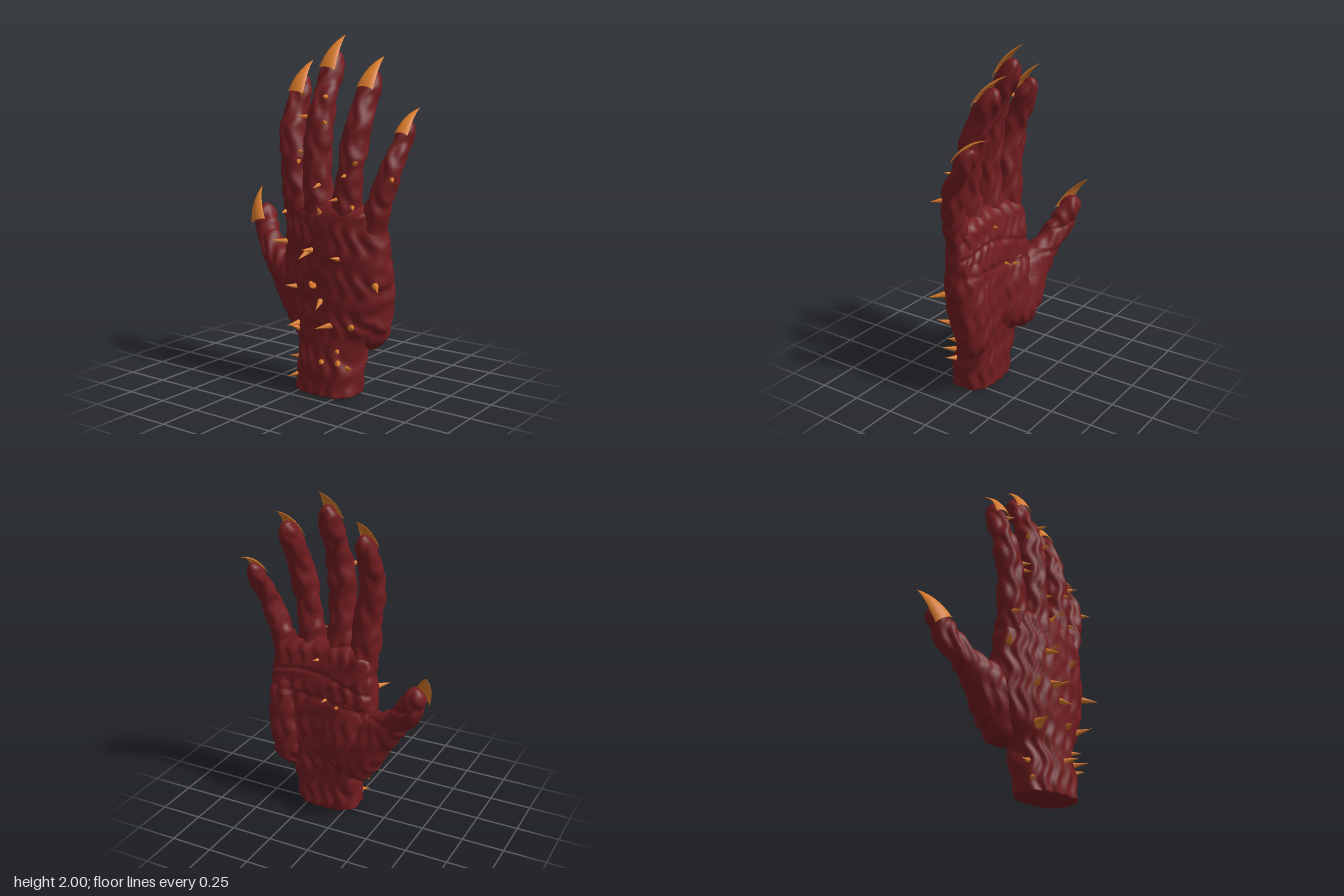
import * as THREE from 'three';

const V = (x, y, z) => new THREE.Vector3(x, y, z);

// Wavy bark-like ridges over all skin, plus creases on the palm side
function ripple(p, n) {
  let d = 0.007 * Math.sin(80 * p.x + 9 * p.y + 32 * p.z + 1.8 * Math.sin(27 * p.y + 4 * p.x));
  d += 0.002 * Math.sin(48 * p.y + 14 * p.x + 25 * p.z);
  if (n.z < -0.3) {
    const crease = (v) => 0.01 * Math.exp(-((v / 0.012) ** 2));
    d -= crease(p.y - 0.86 - 0.05 * Math.sin(6 * p.x)) + crease(p.y - 0.73 - 0.12 * p.x);
  }
  return d;
}

// Loft of superellipse rings; nodes are [x, y, z, halfWidth, halfDepth]
function loft(nodes, { rings = 70, segs = 48, start = 0, end = 0.1, power = 1, arch = 0, ref = V(1, 0, 0) } = {}) {
  const path = new THREE.CatmullRomCurve3(nodes.map((n) => V(n[0], n[1], n[2])), false, 'catmullrom', 0.5);
  const radii = new THREE.CatmullRomCurve3(nodes.map((n) => V(n[3], n[4], 0)), false, 'catmullrom', 0.5);
  const pos = [], idx = [];
  const round = (v) => Math.sign(v) * Math.abs(v) ** power;
  const steps = [];
  if (!start) steps.push([0, 0], [0, 0.5], [0, 0.95]);
  for (let i = 0; i <= rings; i++) {
    const u = i / rings;
    const t = start ? (1 - Math.cos(u * Math.PI)) / 2 : Math.sin(u * Math.PI / 2);
    let k = 1;
    if (t < start) k = Math.sqrt(Math.max(0, 1 - (1 - t / start) ** 2));
    if (t > 1 - end) k = Math.sqrt(Math.max(0, 1 - ((t - 1 + end) / end) ** 2));
    steps.push([!start && i === 0 ? 0.008 : t, k]);
  }
  steps.forEach(([t, k], i) => {
    const c = path.getPoint(t), r = radii.getPoint(t);
    const T = arch ? V(0, 1, 0) : path.getTangent(t);
    const side = ref.clone().addScaledVector(T, -ref.dot(T)).normalize();
    const up = side.clone().cross(T);
    for (let j = 0; j < segs; j++) {
      const a = (j / segs) * Math.PI * 2, cx = round(Math.cos(a)), cz = round(Math.sin(a));
      const n = side.clone().multiplyScalar(cx).addScaledVector(up, cz).normalize();
      const p = c.clone().addScaledVector(side, cx * r.x * k).addScaledVector(up, cz * r.y * k);
      p.z -= arch * cx * cx * k * Math.min(1, t * 4);
      p.addScaledVector(n, ripple(p, n) * k);
      if (p.y < 0) p.y = 0;
      pos.push(p.x, p.y, p.z);
      if (i < steps.length - 1) {
        const q = i * segs, b = q + segs, m = (j + 1) % segs;
        idx.push(q + j, b + j, q + m, b + j, b + m, q + m);
      }
    }
  });
  const g = new THREE.BufferGeometry();
  g.setAttribute('position', new THREE.Float32BufferAttribute(pos, 3));
  g.setIndex(idx);
  g.computeVertexNormals();
  return g;
}

// Curved claw plate arching over the back of a fingertip to a point
function claw(base, tip, width, ref) {
  const along = tip.clone().sub(base).normalize();
  const side = ref.clone().addScaledVector(along, -ref.dot(along)).normalize();
  const up = side.clone().cross(along);
  const root = base.clone().addScaledVector(up, 0.02);
  const mid = root.clone().lerp(tip, 0.5).addScaledVector(up, 0.05);
  const curve = new THREE.QuadraticBezierCurve3(root, mid, tip);
  const g = new THREE.PlaneGeometry(1, 1, 12, 16);
  const P = g.attributes.position;
  for (let i = 0; i < P.count; i++) {
    const v = P.getY(i) + 0.5, a = P.getX(i) * 2.5;
    const w = (width / 2) * (1 - v) * (1 + 0.5 * v) + 0.001;
    const p = curve.getPoint(v).addScaledVector(side, Math.sin(a) * w).addScaledVector(up, (Math.cos(a) - 1) * w * 0.6);
    P.setXYZ(i, p.x, p.y, p.z);
  }
  g.computeVertexNormals();
  return g;
}

export function createModel() {
  const skin = new THREE.MeshStandardMaterial({ color: 0x721d20 });
  skin.name = 'dark red skin';
  const horn = new THREE.MeshStandardMaterial({ color: 0xd97b2c, side: THREE.DoubleSide });
  horn.name = 'orange horn';
  const hand = new THREE.Group();
  hand.name = 'clawedHand';
  const flesh = [];
  const add = (name, geo, mat) => {
    const m = new THREE.Mesh(geo, mat);
    m.name = name;
    hand.add(m);
    if (mat === skin) flesh.push(m);
  };

  // Wrist and palm
  add('palm', loft([
    [0.138, 0, 0.06, 0.192, 0.127], [0.138, 0.12, 0.06, 0.195, 0.127], [0.138, 0.27, 0.05, 0.205, 0.122],
    [0.13, 0.38, 0.04, 0.27, 0.125], [0.135, 0.52, 0.035, 0.32, 0.13], [0.145, 0.7, 0.035, 0.335, 0.127],
    [0.145, 0.86, 0.038, 0.328, 0.118], [0.14, 0.98, 0.043, 0.305, 0.102], [0.14, 1.09, 0.045, 0.285, 0.085],
  ], { rings: 130, segs: 128, power: 0.7, arch: 0.05, end: 0.1 }), skin);
  add('heelOfPalm', loft([
    [0.35, 0.25, -0.04, 0.07, 0.07], [0.365, 0.4, -0.045, 0.1, 0.09], [0.38, 0.6, -0.045, 0.105, 0.09],
    [0.38, 0.78, -0.03, 0.1, 0.08], [0.36, 0.92, 0, 0.08, 0.06],
  ], { start: 0.2, end: 0.25 }), skin);
  add('thumbMound', loft([
    [0.04, 0.28, -0.03, 0.08, 0.06], [0, 0.42, -0.05, 0.14, 0.09], [-0.02, 0.56, -0.05, 0.15, 0.09],
    [-0.04, 0.7, -0.04, 0.13, 0.075], [-0.06, 0.82, -0.01, 0.08, 0.05],
  ], { start: 0.2, end: 0.25 }), skin);

  // Fingers and thumb, each with its claw
  const X = V(1, 0, 0), thumbSide = V(0.92, 0, 0.38);
  const digits = {
    indexFinger: { nodes: [
      [-0.07, 0.8, 0.02, 0.06, 0.06], [-0.095, 0.98, 0.025, 0.082, 0.075], [-0.108, 1.12, 0.03, 0.084, 0.076],
      [-0.12, 1.28, 0.03, 0.08, 0.074], [-0.15, 1.45, 0.02, 0.07, 0.07], [-0.15, 1.6, -0.03, 0.064, 0.062],
      [-0.145, 1.77, -0.11, 0.055, 0.054],
    ], base: V(-0.145, 1.675, 0), tip: V(-0.138, 1.86, -0.165), width: 0.115 },
    middleFinger: { nodes: [
      [0.06, 0.9, 0.05, 0.085, 0.085], [0.06, 1.08, 0.055, 0.084, 0.08], [0.055, 1.28, 0.06, 0.077, 0.073],
      [0.055, 1.45, 0.045, 0.08, 0.073], [0.06, 1.6, 0.015, 0.07, 0.067], [0.06, 1.75, -0.05, 0.063, 0.06],
      [0.06, 1.91, -0.13, 0.056, 0.054],
    ], base: V(0.06, 1.81, -0.015), tip: V(0.072, 2, -0.187), width: 0.118 },
    ringFinger: { nodes: [
      [0.24, 0.9, 0.045, 0.082, 0.08], [0.25, 1.08, 0.05, 0.081, 0.075], [0.265, 1.25, 0.045, 0.07, 0.07],
      [0.275, 1.4, 0.02, 0.074, 0.07], [0.285, 1.55, -0.025, 0.066, 0.064], [0.29, 1.68, -0.09, 0.06, 0.059],
      [0.295, 1.8, -0.165, 0.055, 0.054],
    ], base: V(0.293, 1.705, -0.04), tip: V(0.3, 1.88, -0.235), width: 0.118 },
    littleFinger: { nodes: [
      [0.34, 0.8, 0.01, 0.05, 0.06], [0.4, 0.97, 0.015, 0.066, 0.068], [0.435, 1.1, 0.012, 0.065, 0.064],
      [0.465, 1.2, -0.005, 0.06, 0.06], [0.487, 1.3, -0.03, 0.056, 0.056], [0.505, 1.41, -0.09, 0.052, 0.052],
      [0.515, 1.535, -0.17, 0.043, 0.045],
    ], base: V(0.515, 1.46, -0.065), tip: V(0.52, 1.6, -0.26), width: 0.09 },
    thumb: { nodes: [
      [-0.01, 0.29, -0.02, 0.1, 0.08], [-0.07, 0.38, -0.04, 0.14, 0.1], [-0.14, 0.49, -0.045, 0.15, 0.105],
      [-0.23, 0.6, -0.055, 0.125, 0.09], [-0.355, 0.71, -0.09, 0.08, 0.075], [-0.455, 0.84, -0.135, 0.072, 0.066],
      [-0.515, 0.99, -0.19, 0.066, 0.06],
    ], base: V(-0.502, 0.888, -0.092), tip: V(-0.58, 1.09, -0.238), width: 0.13, side: thumbSide, start: 0.15 },
  };
  for (const [name, d] of Object.entries(digits)) {
    add(name, loft(d.nodes, { ref: d.side || X, start: d.start || 0.08 }), skin);
    add(name + 'Claw', claw(d.base, d.tip, d.width, d.side || X), horn);
  }

  // Thorns: [x, y, length], planted on the back of the hand
  const thorns = [
    [-0.16, 0.83, 0.09], [0.055, 0.81, 0.1], [0.085, 0.82, 0.08], [0.26, 0.79, 0.06], [0.45, 0.65, 0.1],
    [0.1, 0.62, 0.1], [0.085, 0.63, 0.07], [-0.03, 0.6, 0.07], [0.15, 0.54, 0.08], [-0.02, 0.385, 0.1],
    [-0.01, 0.36, 0.07], [0.21, 0.41, 0.09], [0.33, 0.41, 0.09], [0.25, 0.265, 0.06], [0.17, 0.2, 0.07],
    [0.26, 0.2, 0.08], [0.3, 0.17, 0.07], [-0.04, 0.175, 0.07], [-0.04, 0.08, 0.06], [-0.145, 1.01, 0.05],
    [0.12, 1.03, 0.06], [0.1, 1.18, 0.05], [0.225, 1.11, 0.05], [0.31, 1.07, 0.05], [0.27, 1.24, 0.05],
    [0.52, 1.23, 0.06], [0.325, 1.31, 0.06], [-0.058, 1.35, 0.06], [-0.06, 1.3, 0.05], [-0.01, 1.55, 0.06],
    [0.115, 1.52, 0.05], [0.105, 1.66, 0.06], [-0.1, 1.67, 0.05], [-0.46, 0.98, 0.06],
    [0.1, 0.75, 0.04, -1], [0.16, 0.98, 0.04, -1], [0.02, 0.72, 0.04, -1],
  ];
  const ray = new THREE.Raycaster();
  let seed = 7;
  const rand = () => (seed = (seed * 16807) % 2147483647) / 2147483647 - 0.5;
  hand.updateMatrixWorld(true);
  for (const [x, y, len, dir = 1] of thorns) {
    ray.set(V(x, y, dir), V(0, 0, -dir));
    const hit = ray.intersectObjects(flesh, false)[0];
    if (!hit) continue;
    const n = hit.face.normal.clone().add(V(rand() * 1.1, rand() * 0.7, 0.2 * dir)).normalize();
    const g = new THREE.ConeGeometry(0.009 + len * 0.13, len + 0.015, 10);
    g.translate(0, len / 2 - 0.007, 0);
    g.applyQuaternion(new THREE.Quaternion().setFromUnitVectors(V(0, 1, 0), n));
    g.translate(hit.point.x, hit.point.y, hit.point.z);
    add('thorn', g, horn);
  }
  return hand;
}
